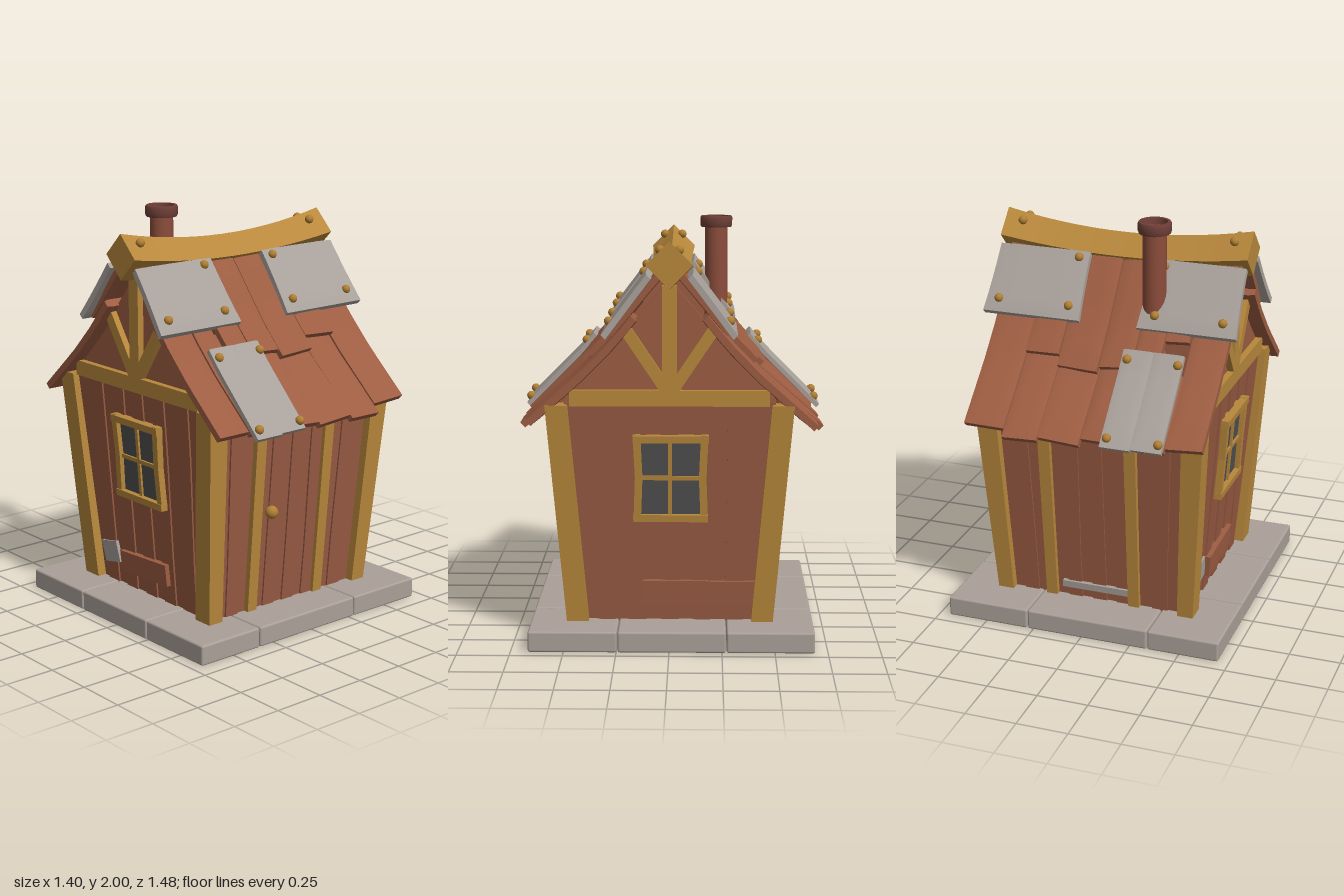
import * as THREE from 'three';
import { toCreasedNormals } from 'three/addons/utils/BufferGeometryUtils.js';
import { RoundedBoxGeometry } from 'three/addons/geometries/RoundedBoxGeometry.js';

const colour = (name, hex) => Object.assign(new THREE.MeshStandardMaterial({ color: hex }), { name });

// Roof profile from ridge to eave, as [distance from ridge, height]
const PROFILE = [[0, 1.82], [0.1, 1.69], [0.28, 1.45], [0.43, 1.285], [0.72, 1.005]];
function roofY(z) {
  let i = 0;
  while (i < PROFILE.length - 2 && z > PROFILE[i + 1][0]) i++;
  const [z0, y0] = PROFILE[i], [z1, y1] = PROFILE[i + 1];
  return y0 + (y1 - y0) * (z - z0) / (z1 - z0);
}

export function createModel() {
  const mat = {
    stone: colour('stone', 0xaaa098), metal: colour('metal', 0xa9a19b),
    wall: colour('wallWood', 0x985b42), shingle: colour('shingleWood', 0x9d5d42),
    gold: colour('yellowTimber', 0xb8883c), nail: colour('brass', 0xb07f33),
    glass: colour('darkGlass', 0x505051), pipe: colour('pipeRust', 0x8c4d3b), cap: colour('pipeCap', 0x6e3f37),
  };
  const model = new THREE.Group();
  model.name = 'shed';
  let seed = 7;
  const rnd = (a) => { seed = (seed * 16807) % 2147483647; return (seed / 2147483647 * 2 - 1) * a; };

  function add(name, geo, material, parent = model) {
    const mesh = new THREE.Mesh(geo, material);
    mesh.name = name;
    parent.add(mesh);
    return mesh;
  }
  // Move every vertex by a rule, then refresh the normals
  function bend(geo, rule) {
    const p = geo.attributes.position, v = new THREE.Vector3();
    for (let i = 0; i < p.count; i++) {
      v.fromBufferAttribute(p, i);
      rule(v);
      p.setXYZ(i, v.x, v.y, v.z);
    }
    geo.computeVertexNormals();
    return geo;
  }
  function face(name, angle) {
    const g = new THREE.Group();
    g.name = name;
    g.rotation.y = angle;
    model.add(g);
    return g;
  }

  // Foundation of nine slabs
  const bx = [-0.7, -0.34, 0.28, 0.7], bz = [-0.69, -0.27, 0.245, 0.67];
  for (let i = 0; i < 3; i++) for (let j = 0; j < 3; j++) {
    const slab = add('foundationSlab', new RoundedBoxGeometry(bx[i + 1] - bx[i] - 0.004, 0.1, bz[j + 1] - bz[j] - 0.004, 2, 0.01), mat.stone);
    slab.position.set((bx[i] + bx[i + 1]) / 2, 0.05, (bz[j] + bz[j + 1]) / 2);
  }

  // Walls lean outward: u runs along the wall, d is distance out from it
  const wall = {
    front: { g: face('frontWall', 0), d: 0.45, lean: 0.09, spread: 0.11 },
    left: { g: face('leftWall', Math.PI / 2), d: 0.46, lean: 0.08, spread: 0.2 },
    back: { g: face('backWall', Math.PI), d: 0.45, lean: 0.09, spread: 0.11 },
    right: { g: face('rightWall', -Math.PI / 2), d: 0.46, lean: 0.08, spread: 0.2 },
  };
  function wallPiece(w, name, material, u0, u1, y0, y1, d0, d1, wobble = 0, turn = 0) {
    const geo = new THREE.BoxGeometry(u1 - u0, y1 - y0, d1 - d0, 1, 4, 1);
    const cu = (u0 + u1) / 2, cy = (y0 + y1) / 2, cd = (d0 + d1) / 2;
    const a = rnd(wobble), b = rnd(wobble);
    geo.rotateZ(turn);
    bend(geo, (v) => {
      const k = v.y / (y1 - y0);
      v.x += cu + a * k * 2 + b * Math.sin(k * 6);
      v.y += cy;
      v.z += cd;
      const t = (v.y - 0.1) / 1.05;
      v.x *= 1 + w.spread * t * (v.x / 0.47) ** 2;
      v.z += w.d + w.lean * t;
    });
    return add(name, geo, material, w.g);
  }
  // Neighbouring planks overlap at alternating depths
  function planks(w, u0, u1, n) {
    const s = (u1 - u0) / n;
    for (let i = 0; i < n; i++) {
      const out = i % 2 ? 0.011 : 0.002;
      wallPiece(w, 'wallPlank', mat.wall, u0 + i * s - 0.005, u0 + (i + 1) * s + 0.005, 0.09, 1.17, out - 0.032, out, 0.004);
    }
  }

  for (const w of [wall.front, wall.back]) {
    planks(w, -0.44, -0.25, 3);
    planks(w, -0.2, 0.175, 6);
    planks(w, 0.225, 0.44, 3);
    for (const u of [-0.228, 0.2]) wallPiece(w, 'doorPost', mat.gold, u - 0.028, u + 0.028, 0.09, 1.16, -0.03, 0.03);
    for (const s of [-0.47, 0.47]) wallPiece(w, 'cornerPost', mat.gold, s - 0.04, s + 0.04, 0.09, 1.16, -0.06, 0.045);
  }
  add('doorKnob', new THREE.SphereGeometry(0.032, 16, 12), mat.nail).position.set(-0.15, 0.6, 0.53);
  wallPiece(wall.back, 'doorSill', mat.metal, -0.17, 0.2, 0.15, 0.185, 0, 0.025);

  // Gable walls with windows and timber framing
  const gable = new THREE.Shape([[-0.5, 1.14], [0.5, 1.14], [0.5, 1.18], [0.27, 1.43], [0, 1.75], [-0.27, 1.43], [-0.5, 1.18]].map((p) => new THREE.Vector2(...p)));
  for (const w of [wall.left, wall.right]) {
    planks(w, -0.42, 0.42, 11);
    wallPiece(w, 'windowGlass', mat.glass, -0.14, 0.15, 0.62, 1.0, 0.013, 0.021);
    // Jambs and rails bow inward at the middle
    for (const [u, lean] of [[-0.148, 1], [0.158, -1]]) {
      wallPiece(w, 'windowJamb', mat.gold, u - 0.017, u + 0.017, 0.6, 0.82, 0, 0.045, 0, lean * -0.04);
      wallPiece(w, 'windowJamb', mat.gold, u - 0.017, u + 0.017, 0.8, 1.02, 0, 0.045, 0, lean * 0.04);
    }
    for (const y of [0.615, 1.0]) wallPiece(w, 'windowRail', mat.gold, -0.17, 0.18, y - 0.017, y + 0.017, 0, 0.05);
    wallPiece(w, 'windowMullion', mat.gold, -0.008, 0.012, 0.62, 1.0, 0, 0.032);
    wallPiece(w, 'windowBar', mat.gold, -0.14, 0.15, 0.8, 0.82, 0, 0.032);
    add('gablePanel', new THREE.ExtrudeGeometry(gable, { depth: 0.03, bevelEnabled: false }), mat.shingle, w.g).position.z = 0.5;
    const timber = (name, width, length, u, y, turn) => {
      const m = add(name, new THREE.BoxGeometry(width, length, 0.05), mat.gold, w.g);
      m.position.set(u, y, 0.537);
      m.rotation.z = turn;
    };
    timber('tieBeam', 0.94, 0.075, 0, 1.193, 0);
    timber('kingPost', 0.07, 0.5, 0, 1.47, 0);
    for (const s of [-1, 1]) timber('gableBrace', 0.055, 0.35, s * 0.108, 1.37, -s * 0.59);
  }
  wallPiece(wall.left, 'repairBoard', mat.shingle, -0.13, 0.185, 0.18, 0.3, 0, 0.035);
  wallPiece(wall.left, 'repairBoard', mat.shingle, 0.19, 0.4, 0.185, 0.295, 0, 0.03);
  wallPiece(wall.right, 'repairBoard', mat.shingle, -0.2, 0.16, 0.19, 0.3, 0, 0.035, 0, 0.05);
  wallPiece(wall.right, 'repairPlate', mat.metal, -0.36, -0.24, 0.2, 0.31, 0, 0.02, 0, 0.2);

  // Roof pieces follow the profile; n0 and n1 lift the upper and lower end
  function roofPiece(g, name, material, x0, x1, z0, z1, n0, n1, thick, flare = 0, wobble = 0) {
    const geo = new THREE.BoxGeometry(1, thick, 1, 6, 1, 8);
    const tilt = rnd(wobble), skew = rnd(wobble);
    bend(geo, (v) => {
      const k = v.z + 0.5, edge = Math.abs(v.x) > 0.45 || k > 0.99 ? 0.75 : 1;
      const z = z0 + (z1 - z0) * k + skew * v.x * k;
      const n = n0 + (n1 - n0) * k + v.y * edge + tilt * v.x;
      v.set((x0 + x1) / 2 + v.x * (x1 - x0 + flare * k * k), roofY(z) + n * 0.7, z + n * 0.7);
    });
    return add(name, geo, material, g);
  }
  function nail(g, x, z, n) {
    add('nail', new THREE.SphereGeometry(0.022, 12, 8), mat.nail, g).position.set(x, roofY(z) + n * 0.7, z + n * 0.7);
  }
  // Columns: x from, x to, end of upper shingle, start and end of lower shingle
  const frontRoof = [[-0.6, -0.425, 0.26, 0.18, 0.66], [-0.42, -0.305, 0.26, 0.18, 0.67], [-0.3, -0.17, 0.36, 0.28, 0.67],
    [-0.165, -0.012, 0.385, 0.3, 0.68], [-0.006, 0.19, 0.41, 0.33, 0.69], [0.195, 0.37, 0.36, 0.28, 0.7], [0.375, 0.575, 0.26, 0.18, 0.66]];
  const backRoof = [[-0.575, -0.375, 0.26, 0.18, 0.68], [-0.37, -0.2, 0.39, 0.3, 0.71], [-0.195, 0.008, 0.43, 0.33, 0.7],
    [0.012, 0.17, 0.41, 0.3, 0.68], [0.175, 0.3, 0.36, 0.32, 0.69], [0.305, 0.42, 0.3, 0.4, 0.69], [0.425, 0.6, 0.26, 0.18, 0.67]];
  // Plates: x from, x to, x of the inner nail, x of the outer nail
  const slopes = [
    { g: face('frontRoof', 0), cols: frontRoof, plates: [[-0.63, -0.175, -0.235, -0.575], [0.15, 0.615, 0.2, 0.56]], patch: [-0.425, -0.125] },
    { g: face('backRoof', Math.PI), cols: backRoof, plates: [[-0.615, -0.15, -0.2, -0.56], [0.17, 0.63, 0.235, 0.57]], patch: [0.12, 0.42] },
  ];
  for (const { g, cols, plates, patch } of slopes) {
    for (const [x0, x1, upper, start, end] of cols) {
      roofPiece(g, 'lowerShingle', mat.shingle, x0, x1, start, end, -0.018, 0.012, 0.045, 0, 0.012);
      roofPiece(g, 'upperShingle', mat.shingle, x0, x1, 0, upper, 0.004, 0.026, 0.04, 0, 0.01);
    }
    for (const [x0, x1, inner, outer] of plates) {
      roofPiece(g, 'metalRoofPlate', mat.metal, x0, x1, 0.065, 0.275, 0.045, 0.046, 0.04, 0.03);
      nail(g, inner, 0.085, 0.066);
      for (const x of [inner, outer]) nail(g, x, 0.235, 0.068);
    }
    const [p0, p1] = patch, mid = (p0 + p1) / 2;
    roofPiece(g, 'metalPatch', mat.metal, p0, mid, 0.35, 0.705, 0.05, 0.042, 0.03);
    roofPiece(g, 'metalPatch', mat.metal, mid, p1, 0.35, 0.7, 0.05, 0.04, 0.03);
    for (const x of [p0 + 0.03, p1 - 0.02]) {
      nail(g, x, 0.385, 0.066);
      nail(g, x, 0.672, 0.062);
    }
  }

  // Sagging ridge beam of diamond section
  const beam = new THREE.CylinderGeometry(1, 1, 1.25, 4, 14).rotateZ(Math.PI / 2).toNonIndexed();
  const ridge = add('ridgeBeam', bend(beam, (v) => {
    const k = (v.x / 0.625) ** 2, r = 0.095 + 0.015 * k;
    v.y = 1.768 + 0.052 * k + v.y * r;
    v.z *= r;
  }), mat.gold);
  ridge.position.x = -0.008;
  for (const x of [-0.55, 0.525]) for (const s of [-1, 1]) {
    add('beamNail', new THREE.SphereGeometry(0.022, 12, 8), mat.nail).position.set(x, 1.885, s * 0.045);
  }

  // Hollow chimney pipe with a collar
  const lathe = (points) => toCreasedNormals(new THREE.LatheGeometry(points.map((p) => new THREE.Vector2(...p)), 20), 0.7);
  const pipe = add('chimneyPipe', lathe([[0.057, 1.45], [0.057, 1.97], [0.053, 1.97], [0.053, 1.45]]), mat.pipe);
  const cap = add('chimneyCap', lathe([[0.055, 1.945], [0.076, 1.945], [0.08, 1.955], [0.08, 1.992], [0.076, 2], [0.062, 2], [0.056, 1.965]]), mat.cap);
  for (const m of [pipe, cap]) m.position.set(-0.213, 0, -0.22);

  return model;
}
